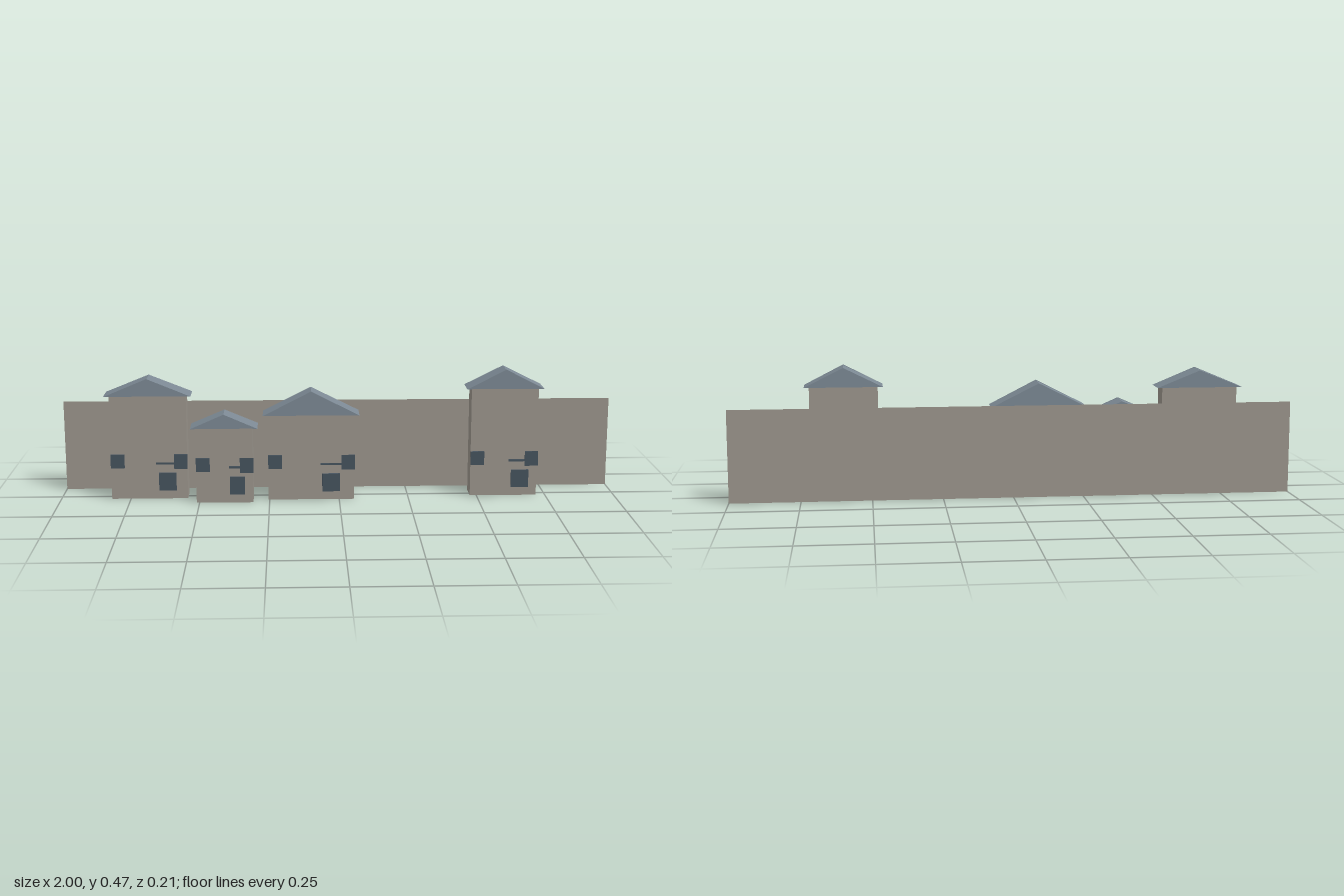
import * as THREE from 'three';

const stone = new THREE.MeshStandardMaterial({ color: 0x9c968d });
stone.name = 'stone';
const backdropStone = new THREE.MeshStandardMaterial({ color: 0x9c968d, side: THREE.DoubleSide });
backdropStone.name = 'backdrop stone';
const slate = new THREE.MeshStandardMaterial({ color: 0x7c8994 });
slate.name = 'slate';
const darkPanel = new THREE.MeshStandardMaterial({ color: 0x46535e });
darkPanel.name = 'dark panel';

// Box given by its min and max corners
function box(name, material, [x0, y0, z0], [x1, y1, z1]) {
  const mesh = new THREE.Mesh(new THREE.BoxGeometry(x1 - x0, y1 - y0, z1 - z0), material);
  mesh.position.set((x0 + x1) / 2, (y0 + y1) / 2, (z0 + z1) / 2);
  mesh.name = name;
  return mesh;
}

// Outline in the xy plane extruded from z0 to z1
function prism(name, material, points, z0, z1) {
  const shape = new THREE.Shape(points.map(([x, y]) => new THREE.Vector2(x, y)));
  const geometry = new THREE.ExtrudeGeometry(shape, { depth: z1 - z0, bevelEnabled: false });
  const mesh = new THREE.Mesh(geometry, material);
  mesh.position.z = z0;
  mesh.name = name;
  return mesh;
}

function house({ left, right, eave, apex, front, bar, door }) {
  const group = new THREE.Group();
  group.name = 'house';
  const mid = (left + right) / 2;
  const roofLeft = left - 0.018, roofRight = right + 0.018;
  const roofFront = front + 0.011;

  group.add(box('houseBody', stone, [left, 0, front - 0.074], [right, eave, front]));

  // Gabled roof with its ridge running front to back
  group.add(prism('gableRoof', slate,
    [[roofLeft, eave], [roofRight, eave], [mid, apex]], front - 0.08, roofFront));

  // Sloping boards along the front edge of the gable
  for (const end of [roofLeft, roofRight]) {
    const inner = end + Math.sign(mid - end) * 0.016;
    const outline = [[end, eave], [inner, eave], [mid, apex - 0.004], [mid, apex + 0.002]];
    group.add(prism('gableBoard', slate, outline, roofFront, roofFront + 0.004));
  }

  // Window, door and the hanging sign on its bar
  group.add(box('window', darkPanel, [left, 0.115, front], [left + 0.049, 0.165, front + 0.008]));
  group.add(box('door', darkPanel, [door[0], 0.031, front], [door[1], 0.096, front + 0.008]));
  group.add(box('hangingSign', darkPanel,
    [right - 0.046, 0.113, front + 0.012], [right + 0.002, 0.167, front + 0.015]));
  group.add(box('signBar', darkPanel,
    [bar, 0.13, front + 0.011], [right - 0.046, 0.137, front + 0.015]));
  return group;
}

export function createModel() {
  const model = new THREE.Group();
  model.name = 'townRow';

  // Long flat wall behind the houses
  const wall = new THREE.Mesh(new THREE.PlaneGeometry(2, 0.33), backdropStone);
  wall.position.set(0, 0.165, -0.107);
  wall.name = 'backWall';
  model.add(wall);

  const houses = [
    { left: -0.818, right: -0.545, eave: 0.378, apex: 0.44, front: 0.031, bar: -0.655, door: [-0.647, -0.585] },
    { left: -0.51, right: -0.308, eave: 0.273, apex: 0.323, front: 0.092, bar: -0.393, door: [-0.39, -0.337] },
    { left: -0.254, right: 0.054, eave: 0.311, apex: 0.397, front: 0.059, bar: -0.067, door: [-0.061, 0.003] },
    { left: 0.476, right: 0.717, eave: 0.396, apex: 0.465, front: 0.027, bar: 0.612, door: [0.624, 0.687] },
  ];
  for (const spec of houses) model.add(house(spec));
  return model;
}
